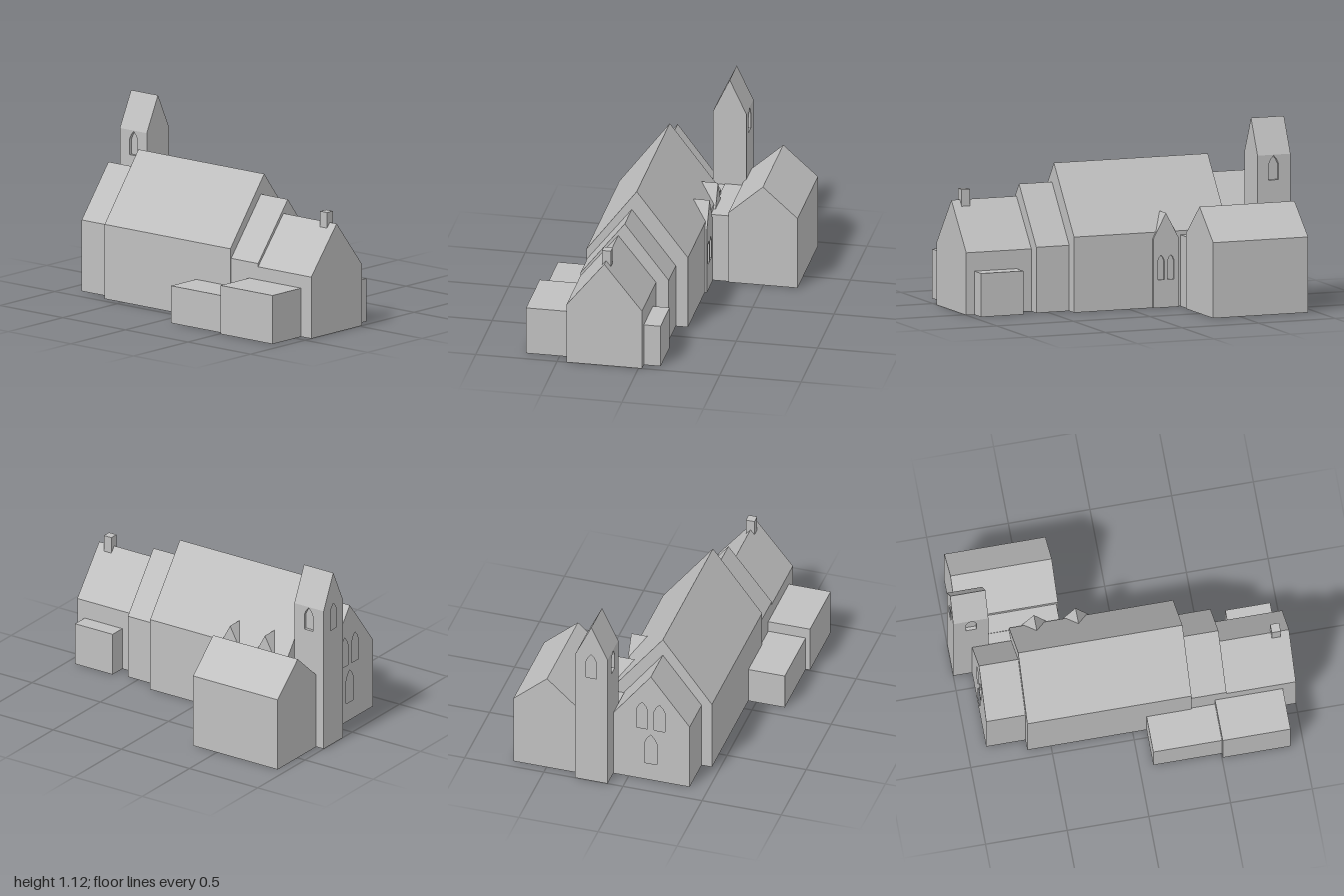
import * as THREE from 'three';

export function createModel() {
  const group = new THREE.Group();
  const stone = new THREE.MeshStandardMaterial({ color: 0xc0c0c0 });
  stone.name = 'pale grey stone';

  const add = (name, geometry) => {
    const mesh = new THREE.Mesh(geometry, stone);
    mesh.name = name;
    group.add(mesh);
  };
  const toPoints = (list) => list.map(([a, b]) => new THREE.Vector2(a, b));

  // Box given by its limits on each axis
  const block = (name, [x0, x1], [y0, y1], [z0, z1]) => {
    const g = new THREE.BoxGeometry(x1 - x0, y1 - y0, z1 - z0);
    add(name, g.translate((x0 + x1) / 2, (y0 + y1) / 2, (z0 + z1) / 2));
  };
  // Outline of (x, y) points extruded along z
  const alongZ = (name, outline, z0, z1, holes = []) => {
    const shape = new THREE.Shape(toPoints(outline));
    shape.holes = holes.map((h) => new THREE.Path(toPoints(h)));
    const g = new THREE.ExtrudeGeometry(shape, { depth: z1 - z0, bevelEnabled: false });
    add(name, g.translate(0, 0, z0));
  };
  // Outline of (z, y) points extruded along x
  const alongX = (name, outline, x0, x1, holes = []) => {
    const flip = (pts) => toPoints(pts.map(([z, y]) => [-z, y]));
    const shape = new THREE.Shape(flip(outline));
    shape.holes = holes.map((h) => new THREE.Path(flip(h)));
    const g = new THREE.ExtrudeGeometry(shape, { depth: x1 - x0, bevelEnabled: false });
    add(name, g.rotateY(Math.PI / 2).translate(x0, 0, 0));
  };
  // Gabled wall outline
  const gable = (a, b, eaves, mid, ridge) => [[a, 0], [b, 0], [b, eaves], [mid, ridge], [a, eaves]];
  // Pointed window outline
  const lancet = (c, w, y0, y1) => {
    const s = y1 - w * 0.8, h = w / 2;
    return [[c - h, y0], [c + h, y0], [c + h, s], [c + h * 0.6, s + w * 0.45], [c, y1],
      [c - h * 0.6, s + w * 0.45], [c - h, s]];
  };
  const R = 0.02; // window recess depth

  // Main hall, stepping down to the east end
  alongX('nave', gable(-0.175, 0.45, 0.46, 0.14, 0.87), -0.645, 0.36);
  alongX('chancel', gable(-0.1, 0.443, 0.4, 0.17, 0.75), 0.36, 0.575);
  alongX('eastEnd', gable(-0.022, 0.443, 0.38, 0.21, 0.67), 0.575, 1);
  block('chimney', [0.89, 0.945], [0.6, 0.735], [0.18, 0.235]);

  // West porch with three recessed windows in its end wall
  const porch = gable(-0.1, 0.385, 0.44, 0.14, 0.757);
  alongX('westPorch', porch, -0.885 + R, -0.645);
  alongX('westPorchWall', porch, -0.885, -0.885 + R, [
    lancet(0.085, 0.07, 0.37, 0.56), lancet(0.195, 0.07, 0.37, 0.56), lancet(0.14, 0.08, 0.12, 0.33),
  ]);

  // Low flat-roofed additions
  block('frontAnnexLow', [0.085, 0.505], [0, 0.23], [0.43, 0.68]);
  block('frontAnnexTall', [0.505, 0.92], [0, 0.3], [0.43, 0.707]);
  block('backAnnex', [0.67, 0.945], [0, 0.265], [-0.125, -0.01]);

  // Back hall and the flat link to the nave
  alongX('backHall', gable(-0.71, -0.285, 0.46, -0.497, 0.65), -0.945, -0.325);
  block('link', [-0.8, -0.335], [0, 0.435], [-0.29, -0.17]);
  block('linkCorner', [-0.8, -0.64], [0, 0.43], [-0.17, -0.09]);

  // Gablets along the back of the nave, each with a pair of windows
  for (const x of [-0.235, -0.49]) {
    const outline = gable(x - 0.083, x + 0.083, 0.42, x, 0.575);
    alongZ('gablet', outline, -0.175, -0.08);
    alongZ('gabletWall', outline, -0.188, -0.175,
      [-0.032, 0.032].map((d) => lancet(x + d, 0.042, 0.17, 0.32)));
  }

  // Tower: core with thin outer walls pierced by windows
  const [tx0, tx1, tz0, tz1, eaves, mid, ridge] = [-1, -0.785, -0.302, -0.097, 0.908, -0.2, 1.125];
  alongX('towerCore', [[tz0 + R, 0], [tz1 - R, 0], [tz1 - R, eaves], [tz1, eaves], [mid, ridge],
    [tz0, eaves], [tz0 + R, eaves]], tx0 + R, tx1);
  alongX('towerWestWall', gable(tz0, tz1, eaves, mid, ridge), tx0, tx0 + R, [lancet(mid, 0.065, 0.755, 0.925)]);
  const wall = [[tx0 + R, 0], [tx1, 0], [tx1, eaves], [tx0 + R, eaves]];
  const window = [lancet(-0.89, 0.065, 0.755, 0.903)];
  alongZ('towerFrontWall', wall, tz1 - R, tz1, window);
  alongZ('towerBackWall', wall, tz0, tz0 + R, window);

  return group;
}
